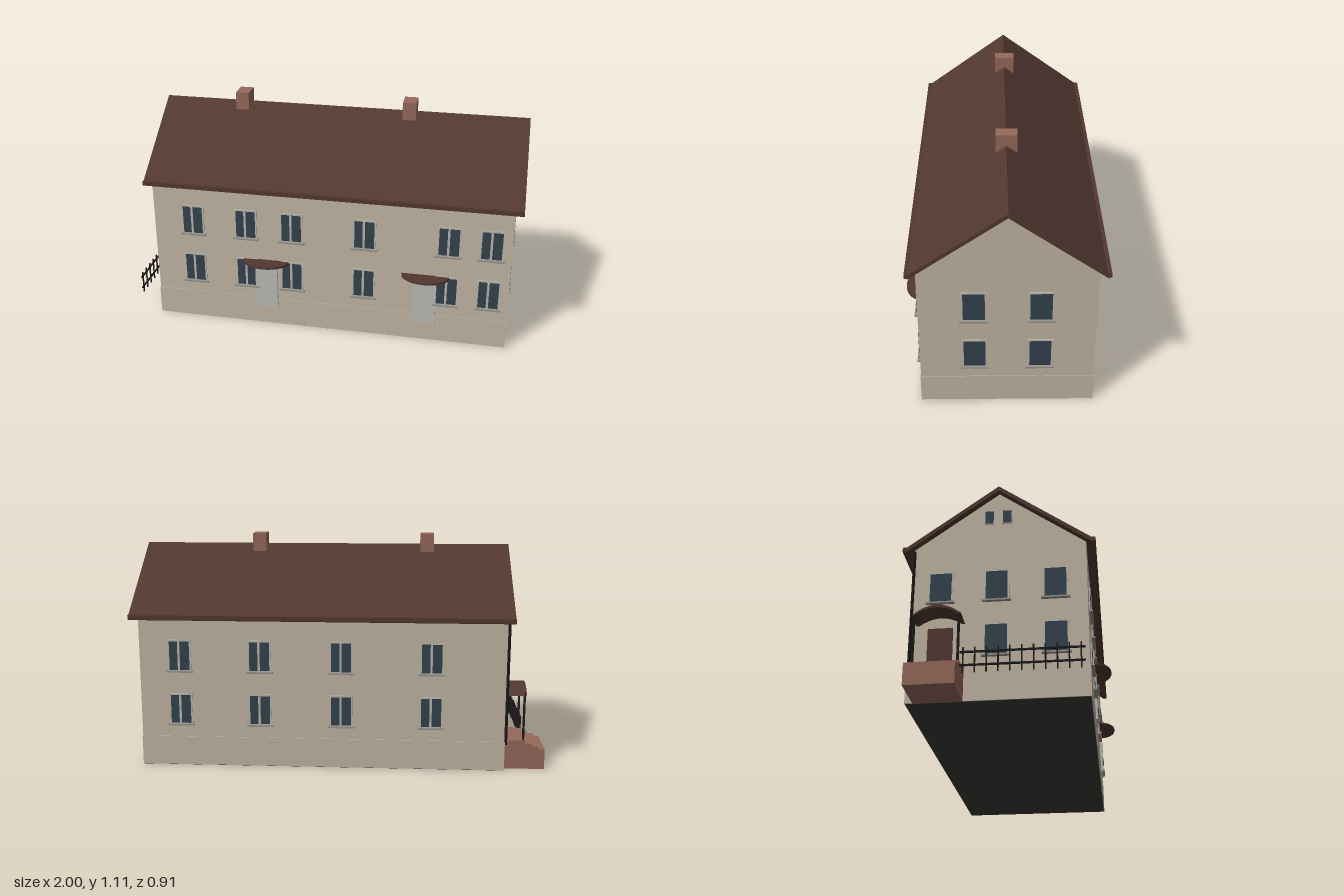
import * as THREE from 'three';

const mat = (name, color) => {
  const m = new THREE.MeshStandardMaterial({ color });
  m.name = name;
  return m;
};

export function createModel() {
  const wall = mat('plaster', 0xc3b6a3), roofM = mat('roof brown', 0x523830);
  const brick = mat('brick', 0x96695a), glass = mat('glass', 0x35424d);
  const frameM = mat('window frame', 0xb9b7af), sillM = mat('sill grey', 0x96938c);
  const doorM = mat('pale door', 0xbdbdb7), iron = mat('black iron', 0x1c1a1a);
  const under = mat('underside', 0x3a3a38);

  const house = new THREE.Group();
  house.name = 'house';

  const add = (parent, name, geo, m) => {
    const mesh = new THREE.Mesh(geo, m);
    mesh.name = name;
    parent.add(mesh);
    return mesh;
  };
  // box given by its limits on each axis
  const box = (name, m, x0, x1, y0, y1, z0, z1, parent = house) => {
    const mesh = add(parent, name, new THREE.BoxGeometry(x1 - x0, y1 - y0, z1 - z0), m);
    mesh.position.set((x0 + x1) / 2, (y0 + y1) / 2, (z0 + z1) / 2);
    return mesh;
  };
  // profile of [z, y] points drawn out along x
  const prism = (name, m, pts, x0, x1) => {
    const shape = new THREE.Shape(pts.map(([z, y]) => new THREE.Vector2(-z, y)));
    const geo = new THREE.ExtrudeGeometry(shape, { depth: x1 - x0, bevelEnabled: false });
    geo.rotateY(Math.PI / 2).translate(x0, 0, 0);
    return add(house, name, geo, m);
  };

  const X0 = -0.8, X1 = 0.96, Z0 = -0.413, Z1 = 0.37, MID = -0.022;

  // walls with gables, plinth and underside
  prism('walls', wall, [[Z0, 0.002], [Z1, 0.002], [Z1, 0.752], [MID, 1.037], [Z0, 0.752]], X0, X1);
  box('plinth', wall, X0 - 0.003, X1 + 0.003, 0.002, 0.145, Z0 - 0.003, Z1 + 0.003);
  box('underside', under, X0, X1, 0, 0.004, Z0, Z1);

  // pitched roof with eave boards
  const half = 0.43, drop = 0.312;
  prism('roof', roofM, [
    [MID - half, 1.055 - drop], [MID, 1.055], [MID + half, 1.055 - drop],
    [MID + half - 0.008, 1.033 - drop + 0.006], [MID, 1.033], [MID - half + 0.008, 1.033 - drop + 0.006],
  ], -0.832, 0.997);
  for (const s of [-1, 1]) {
    const z = MID + s * (half - 0.004);
    box('eaveBoard', roofM, -0.832, 0.997, 0.732, 0.753, z - 0.009, z + 0.009);
  }

  // chimneys
  for (const x of [-0.425, 0.417]) box('chimney', brick, x - 0.033, x + 0.033, 0.95, 1.108, -0.072, 0.026);

  // window: frame, glass, optional mullion and sill, facing local +z
  const addWindow = (x, y, z, turn, mullion, w = 0.112, h = 0.155, sill = true) => {
    const g = new THREE.Group();
    g.name = 'window';
    g.position.set(x, y, z);
    g.rotation.y = turn;
    house.add(g);
    const a = w / 2, b = h / 2, t = w * 0.07;
    box('frame', frameM, -a, a, -b, b, -0.002, 0.005, g);
    box('glass', glass, -a + t, a - t, -b + t, b - t, 0, 0.007, g);
    if (mullion) box('mullion', frameM, -0.008, 0.003, -b + t, b - t, 0, 0.009, g);
    if (sill) box('sill', sillM, -a - 0.008, a + 0.008, -b - 0.004, -b + 0.004, -0.002, 0.016, g);
  };
  for (const y of [0.285, 0.55]) {
    for (const x of [-0.6, -0.33, -0.1, 0.26, 0.665, 0.865]) addWindow(x, y, Z1, 0, true);
    for (const x of [0.765, 0.378, -0.015, -0.447]) addWindow(x, y, Z0, Math.PI, true);
    for (const z of [0.125, -0.168]) addWindow(X1, y, z, Math.PI / 2, false);
    for (const z of y > 0.4 ? [-0.28, -0.03, 0.23] : [-0.03, 0.23]) addWindow(X0, y, z, -Math.PI / 2, false);
  }
  for (const z of [-0.067, 0.015]) addWindow(X0, 0.905, z, -Math.PI / 2, false, 0.045, 0.07, false);

  // front doors with half-round canopies
  for (const x of [-0.23, 0.56]) {
    box('frontDoor', doorM, x - 0.056, x + 0.056, 0.1, 0.33, Z1, Z1 + 0.012);
    const canopy = add(house, 'frontCanopy',
      new THREE.CylinderGeometry(0.115, 0.115, 0.01, 28, 1, false, -Math.PI / 2, Math.PI), roofM);
    canopy.scale.z = 0.73;
    canopy.position.set(x, 0.357, Z1);
  }

  // porch: steps, door, posts and arched canopy
  const P0 = -0.38, P1 = -0.167, PM = (P0 + P1) / 2;
  [[-1, -0.97, 0.1], [-0.97, -0.938, 0.114], [-0.938, -0.905, 0.129], [-0.905, X0, 0.143]]
    .forEach(([a, b, h]) => box('porchStep', brick, a, b, 0, h, P0, P1));
  box('porchDoor', roofM, X0 - 0.009, X0, 0.143, 0.345, PM - 0.055, PM + 0.055);
  for (const z of [P0 + 0.01, P1 - 0.01]) box('porchPost', iron, -0.9, -0.89, 0.143, 0.375, z - 0.005, z + 0.005);
  const arc = (halfWidth, rise) => Array.from({ length: 11 }, (_, i) => {
    const u = i / 5 - 1;
    return [PM + u * halfWidth, 0.365 + rise * (1 - u * u)];
  });
  prism('porchCanopy', roofM, [...arc(0.107, 0.046), ...arc(0.095, 0.034).reverse()], -0.905, X0);

  // downpipe on the rear corner
  const pipe = add(house, 'downpipe', new THREE.CylinderGeometry(0.007, 0.007, 0.61, 8), iron);
  pipe.position.set(X0 - 0.008, 0.435, Z0 + 0.008);

  // railing beside the porch
  for (const y of [0.118, 0.178]) box('rail', iron, -0.912, -0.906, y - 0.004, y + 0.004, P1, 0.355);
  for (let i = 0; i < 11; i++) {
    const z = P1 + 0.015 + i * 0.049;
    box('baluster', iron, -0.912, -0.906, 0.085, 0.2, z - 0.003, z + 0.003);
  }
  return house;
}
